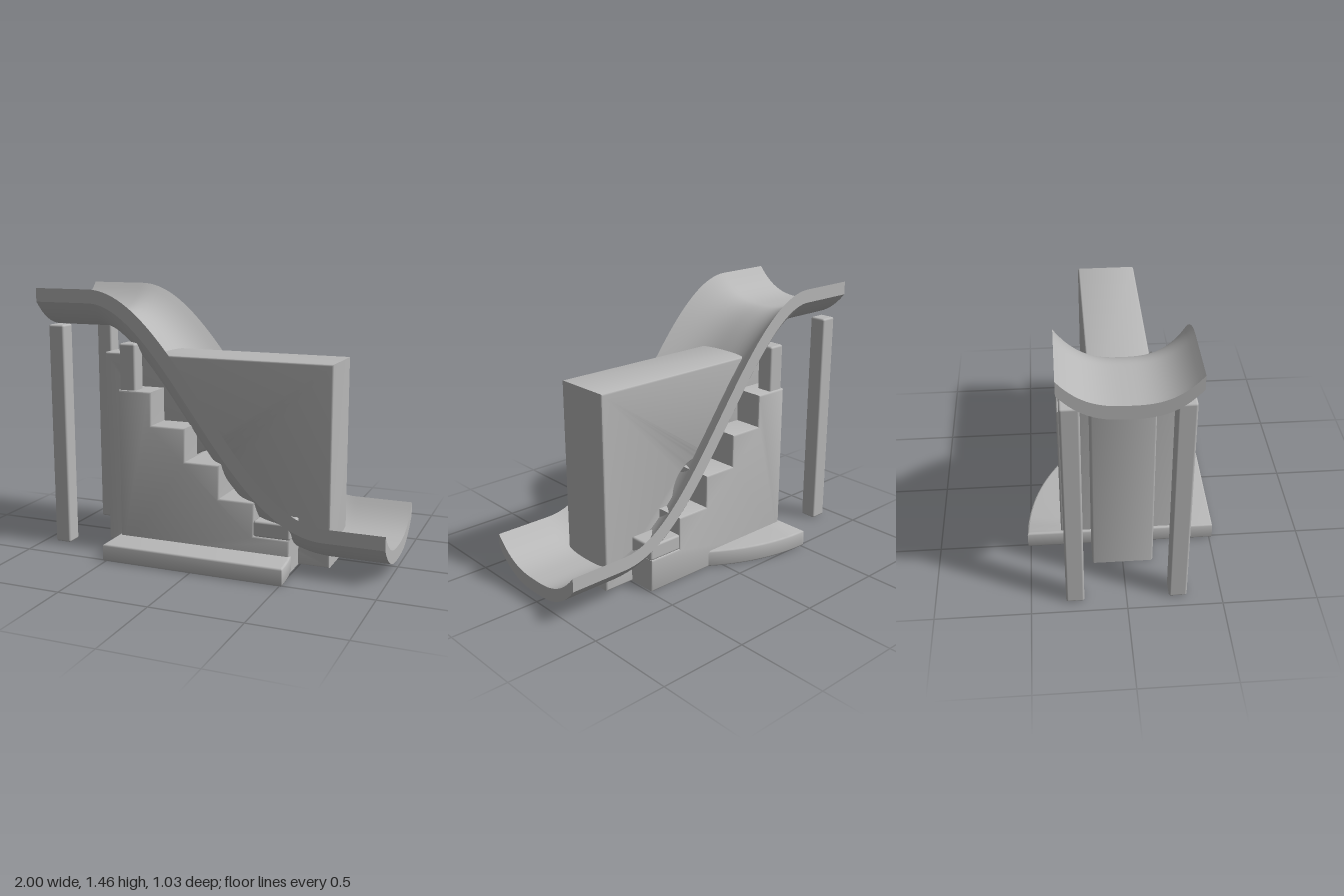
import * as THREE from 'three';
import { toCreasedNormals } from 'three/addons/utils/BufferGeometryUtils.js';
import { RoundedBoxGeometry } from 'three/addons/geometries/RoundedBoxGeometry.js';

const grey = new THREE.MeshStandardMaterial({ color: 0xb8b8b8 });
grey.name = 'plain grey';

export function createModel() {
  const model = new THREE.Group();
  model.name = 'playgroundSlide';

  const add = (name, geometry) => {
    const mesh = new THREE.Mesh(geometry, grey);
    mesh.name = name;
    model.add(mesh);
    return mesh;
  };

  // Box with softened edges, given by its limits
  const box = (name, x0, x1, y0, y1, z0, z1) =>
    add(name, new RoundedBoxGeometry(x1 - x0, y1 - y0, z1 - z0, 2, 0.012))
      .position.set((x0 + x1) / 2, (y0 + y1) / 2, (z0 + z1) / 2);

  // Slab with softened edges, centred on its own thickness
  const slab = (shape, depth, curveSegments = 32) => {
    const b = 0.01;
    const g = new THREE.ExtrudeGeometry(shape, {
      depth: depth - 2 * b, bevelThickness: b, bevelSize: b, bevelOffset: -b,
      bevelSegments: 2, curveSegments,
    });
    g.translate(0, 0, b - depth / 2);
    return toCreasedNormals(g, 0.85);
  };

  add('slide', slideGeometry());

  // Upright wall block, pierced by a round opening
  const wall = new THREE.Shape();
  wall.moveTo(-0.665, 0).lineTo(0.665, 0).lineTo(0.665, 1.1).lineTo(-0.665, 1.1).closePath();
  const opening = new THREE.Path();
  opening.absarc(0, 0.4, 0.19, 0, Math.PI * 2, true);
  wall.holes.push(opening);
  add('wallBlock', slab(wall, 0.33));

  // Five steps descending toward +x
  const steps = new THREE.Shape();
  steps.moveTo(-0.5, 0);
  for (let i = 0; i < 5; i++) {
    const y = 0.184 * (5 - i);
    steps.lineTo(-0.5 + 0.198 * i, y).lineTo(-0.5 + 0.198 * (i + 1), y);
  }
  steps.lineTo(0.49, 0).closePath();
  add('staircase', slab(steps, 0.66));

  // Quarter-round base plate
  const base = new THREE.Shape();
  base.moveTo(-0.515, -0.515).lineTo(0.51, -0.515);
  base.absarc(-0.515, -0.515, 1.03, 0, Math.PI / 2, false);
  base.closePath();
  const plate = add('basePlate', slab(base, 0.095, 48));
  plate.rotation.x = -Math.PI / 2;
  plate.position.y = 0.0475;

  // Posts and lower support bars on both sides
  for (const s of [-1, 1]) {
    const z = s * 0.27;
    box('tallPost', -0.935, -0.84, 0, 1.26, z - 0.048, z + 0.048);
    box('stairPost', -0.495, -0.4, 0.88, 1.175, z - 0.048, z + 0.048);
    box('lowerBar', 0.29, 0.495, 0.183, 0.27, s * 0.25 - 0.08, s * 0.25 + 0.08);
  }
  return model;
}

// Curved trough swept along a cosine drop, kept square to the path
function slideGeometry() {
  const rows = 80, n = 25, half = 0.675, amp = 0.595;
  const section = [];
  for (let k = 0; k < n; k++) {
    const u = (k / (n - 1)) * 2 - 1;
    section.push([0.33 * u, 0.145 * (1 - Math.abs(u) ** 2.8)]);
  }
  for (let k = n - 1; k >= 0; k--) section.push([section[k][0], section[k][1] + 0.075]);

  const m = section.length, pos = [], idx = [];
  for (let i = 0; i <= rows; i++) {
    const x = -1 + (2 * i) / rows;
    const a = (THREE.MathUtils.clamp(x / half, -1, 1) * Math.PI) / 2;
    const y = 0.865 - amp * Math.sin(a);
    const slope = (-amp * Math.cos(a) * Math.PI) / (2 * half);
    const len = Math.hypot(1, slope);
    for (const [z, d] of section) pos.push(x + (d * slope) / len, y - d / len, z);
  }
  const quad = (a, b, c, d) => idx.push(a, b, c, a, c, d);
  for (let i = 0; i < rows; i++) {
    for (let j = 0; j < m; j++) {
      const k = (j + 1) % m;
      quad(i * m + j, i * m + k, (i + 1) * m + k, (i + 1) * m + j);
    }
  }
  // End caps
  const e = rows * m;
  for (let k = 0; k < n - 1; k++) {
    const o = m - 1 - k;
    quad(e + k, e + k + 1, e + o - 1, e + o);
    quad(o, o - 1, k + 1, k);
  }
  const g = new THREE.BufferGeometry();
  g.setAttribute('position', new THREE.Float32BufferAttribute(pos, 3));
  g.setIndex(idx);
  return toCreasedNormals(g, 0.7);
}
